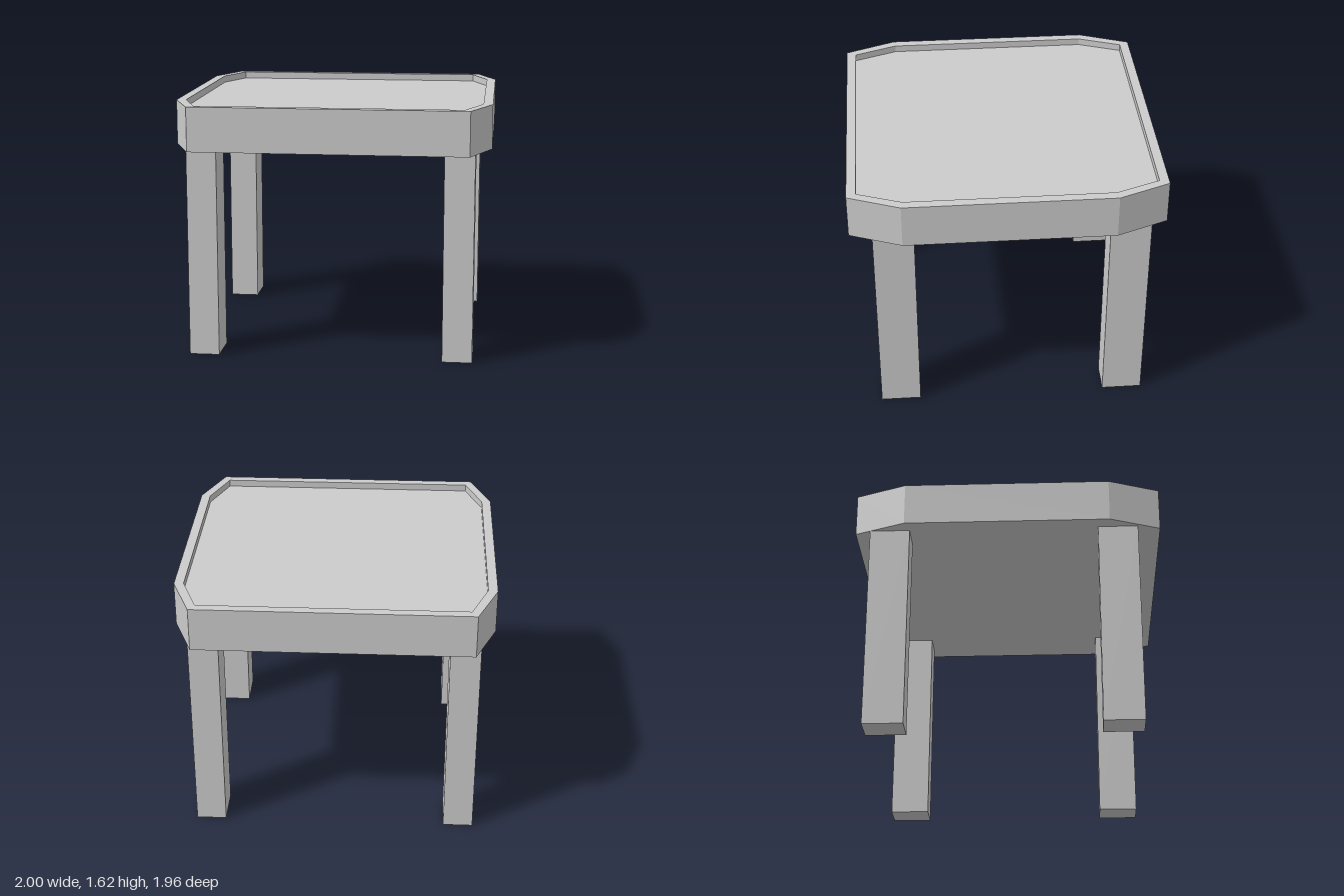
import * as THREE from 'three';

const material = new THREE.MeshStandardMaterial({ color: 0xcccccc, flatShading: true });

const BOTTOM = 1.34, TOP = 1.62, RECESS = 0.045;

// Chamfered rectangle: side edges at x = hx end at z = cz, front/back edges at z = hz end at x = cx
function octagon(hx, hz, cx, cz) {
  return [[cx, -hz], [hx, -cz], [hx, cz], [cx, hz], [-cx, hz], [-hx, cz], [-hx, -cz], [-cx, -hz]]
    .map(([x, z]) => new THREE.Vector2(x, z));
}

// Extrude a plan shape upward from height y
function slab(name, shape, y, height) {
  const geometry = new THREE.ExtrudeGeometry(shape, { depth: height, bevelEnabled: false });
  geometry.rotateX(-Math.PI / 2);
  const mesh = new THREE.Mesh(geometry, material);
  mesh.name = name;
  mesh.position.y = y;
  return mesh;
}

export function createModel() {
  const group = new THREE.Group();
  group.name = 'table';

  // Raised rim around the table top
  const inner = octagon(0.94, 0.92, 0.835, 0.645);
  const rim = new THREE.Shape(octagon(1, 0.98, 0.87, 0.655));
  rim.holes.push(new THREE.Path(inner));
  group.add(slab('rim', rim, BOTTOM, TOP - BOTTOM));

  // Recessed top panel
  group.add(slab('tablePanel', new THREE.Shape(inner), BOTTOM, TOP - BOTTOM - RECESS));

  // Four rectangular legs; the back pair sits slightly further out
  for (const [side, x] of [['Left', 0.806], ['Right', -0.812]]) {
    for (const [end, z] of [['front', 0.71], ['back', -0.755]]) {
      const leg = new THREE.Mesh(new THREE.BoxGeometry(0.19, BOTTOM, 0.255), material);
      leg.name = `${end}${side}Leg`;
      leg.position.set(x, BOTTOM / 2, z);
      group.add(leg);
    }
  }
  return group;
}
